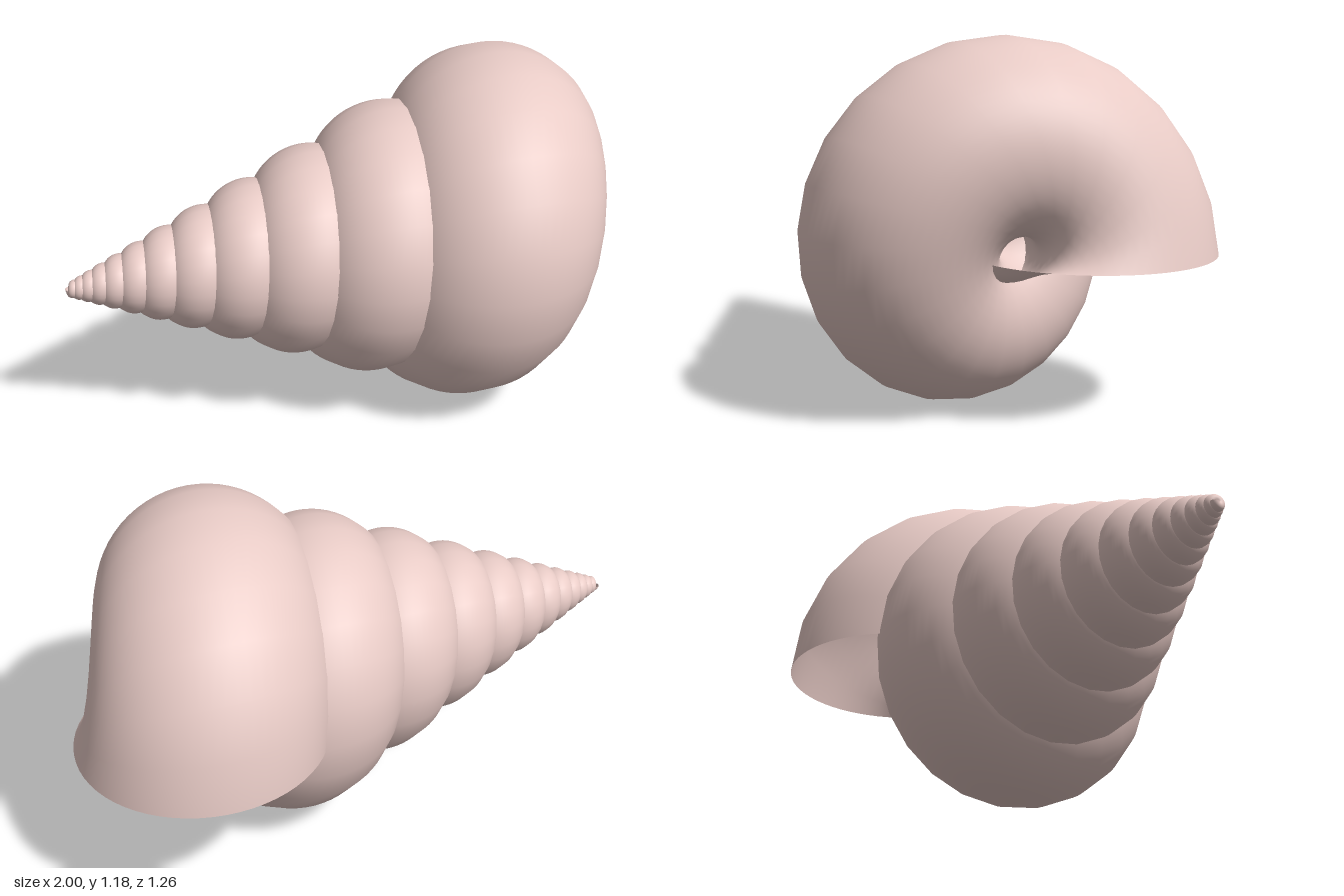
import * as THREE from 'three';

// Spiral axis runs along x from the apex; one growing tube is wound around it.
const APEX = { x: -1.043, y: 0.55, z: 0.044 };
const TURNS = 12, STEPS = 24, SIDES = 64;
const GROWTH = 1.315;                       // size ratio from one whorl to the next
// Opening ring, measured from the apex
const RING = { axial: 1.633, radial: 0.274, tangent: 0.04, rAxial: 0.41, rRadial: 0.4 };

function spiralTube() {
  const pos = [], index = [], rows = TURNS * STEPS;
  for (let i = 0; i <= rows; i++) {
    const turn = i / STEPS - TURNS;         // 0 at the opening, negative towards the tip
    const a = turn * Math.PI * 2, s = Math.pow(GROWTH, turn);
    const c = Math.cos(a), n = Math.sin(a);
    for (let j = 0; j < SIDES; j++) {
      const p = (j / SIDES) * Math.PI * 2;
      const along = s * (RING.axial + RING.rAxial * Math.cos(p));
      const out = s * (RING.radial + RING.rRadial * Math.sin(p));
      const t = s * RING.tangent;
      pos.push(APEX.x + along, APEX.y - out * n - t * c, APEX.z - out * c + t * n);
    }
  }
  for (let i = 0; i < rows; i++) {
    for (let j = 0; j < SIDES; j++) {
      const k = (j + 1) % SIDES;
      const a = i * SIDES + j, b = a + SIDES, c = i * SIDES + k, d = c + SIDES;
      index.push(a, b, c, b, d, c);
    }
  }
  const geo = new THREE.BufferGeometry();
  geo.setAttribute('position', new THREE.Float32BufferAttribute(pos, 3));
  geo.setIndex(index);
  geo.computeVertexNormals();
  return geo;
}

export function createModel() {
  const group = new THREE.Group();
  group.name = 'seaShell';
  // Thin shell wall, open at the mouth
  const material = new THREE.MeshStandardMaterial({ color: 0xe8cbc6, side: THREE.DoubleSide });
  const shell = new THREE.Mesh(spiralTube(), material);
  shell.name = 'spiralShell';
  group.add(shell);
  return group;
}
